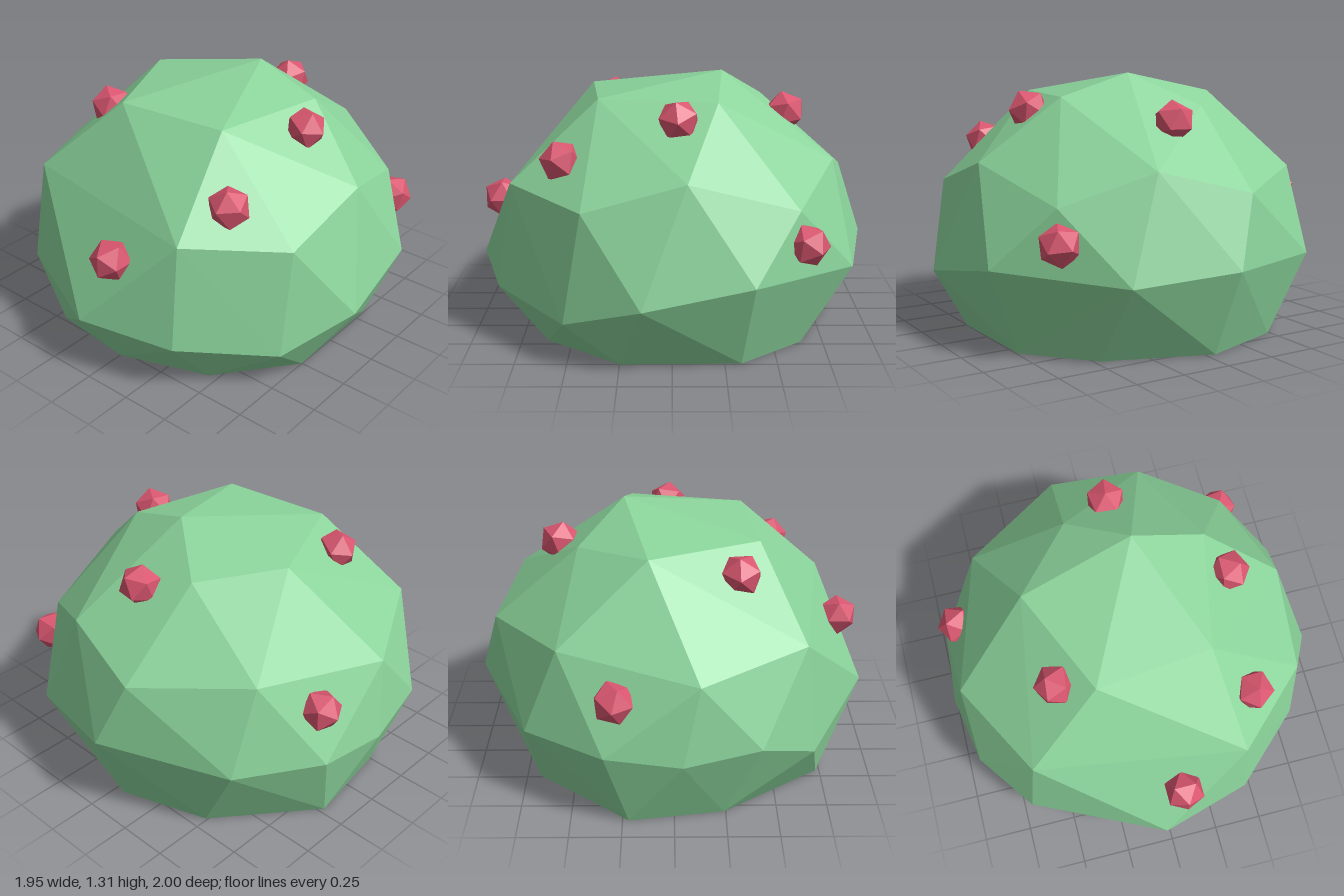
import * as THREE from 'three';
import { ConvexGeometry } from 'three/addons/geometries/ConvexGeometry.js';

const V = (p) => new THREE.Vector3(...p);

export function createModel() {
  const group = new THREE.Group();
  const leaf = new THREE.MeshStandardMaterial({ color: 0x8bd49b, flatShading: true });
  leaf.name = 'leafGreen';
  const red = new THREE.MeshStandardMaterial({ color: 0xd9566f, flatShading: true });
  red.name = 'berryRed';

  // Faceted bush: rings of hull points from the flat base to the peak
  const base = [[-0.45, 0.73], [0, 0.78], [0.45, 0.62], [0.75, 0.25], [0.74, -0.33],
    [0.47, -0.64], [-0.05, -0.83], [-0.49, -0.68], [-0.87, -0.22], [-0.8, 0.24]]
    .map(([x, z]) => [x, 0, z]);
  const waist = [[-0.04, 0.32, 1], [0.43, 0.28, 0.86], [0.8, 0.22, 0.51], [0.97, 0.34, 0.14],
    [0.91, 0.43, -0.38], [0.45, 0.39, -0.89], [-0.07, 0.43, -1], [-0.7, 0.4, -0.72],
    [-0.95, 0.4, -0.33], [-0.98, 0.37, 0.04], [-0.91, 0.42, 0.41], [-0.7, 0.28, 0.68]];
  const shoulder = [[0.41, 0.8, 0.79], [0.79, 0.75, 0.42], [0.81, 0.89, -0.07],
    [0.67, 0.73, -0.6], [0.26, 0.89, -0.8], [-0.2, 0.77, -0.9], [-0.7, 0.83, -0.55],
    [-0.91, 0.75, 0.12], [-0.64, 0.82, 0.63]];
  const crown = [[0.32, 1.2, 0.36], [-0.26, 1.2, 0.42], [-0.5, 1.2, -0.12],
    [-0.21, 1.15, -0.47], [0.44, 1.2, -0.22], [0.08, 1.31, -0.25]];
  const bush = new THREE.Mesh(
    new ConvexGeometry([...base, ...waist, ...shoulder, ...crown].map(V)), leaf);
  bush.name = 'bush';
  group.add(bush);

  // Berries half sunk into the foliage, each turned differently
  const berries = [[0.07, 0.645, 0.875], [0.5, 0.93, 0.53], [-0.44, 1.1, 0.32],
    [0.52, 1.13, -0.03], [0.03, 1.09, -0.58], [0.68, 0.57, -0.64], [-0.86, 0.65, -0.28]];
  const berryGeometry = new THREE.IcosahedronGeometry(0.105, 0);
  berries.forEach((p, i) => {
    const berry = new THREE.Mesh(berryGeometry, red);
    berry.name = 'berry' + (i + 1);
    berry.position.set(...p);
    berry.rotation.set(i * 1.3, i * 2.1, i * 0.7);
    group.add(berry);
  });
  return group;
}
